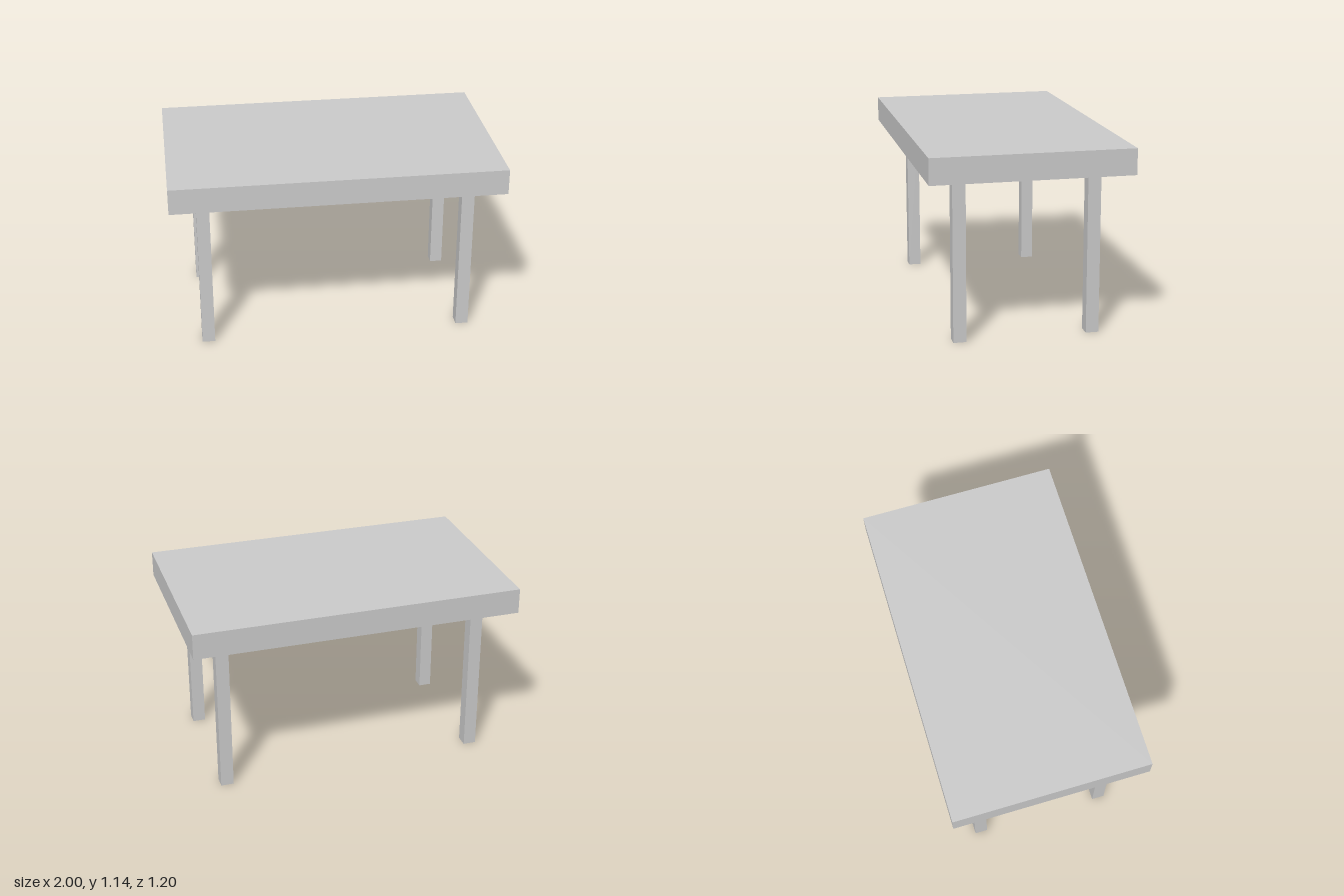
import * as THREE from 'three';

const TOP_Y = 1.14;        // height of the table surface
const UNDERSIDE_Y = 0.984; // where the legs meet the top
const LEG = 0.078;         // square leg thickness

export function createModel() {
  const table = new THREE.Group();
  table.name = 'table';
  const material = new THREE.MeshStandardMaterial({ color: 0xcccccc, flatShading: true });

  const addBox = (name, width, depth, y0, y1, x, z) => {
    const mesh = new THREE.Mesh(new THREE.BoxGeometry(width, y1 - y0, depth), material);
    mesh.name = name;
    mesh.position.set(x, (y0 + y1) / 2, z);
    table.add(mesh);
  };

  // Thick rectangular slab
  addBox('tabletop', 2, 1.2, UNDERSIDE_Y, TOP_Y, 0, 0);

  // Four square legs, inset from the corners
  for (const [side, x] of [['Left', 0.8], ['Right', -0.8]]) {
    for (const [end, z] of [['front', 0.4], ['back', -0.4]]) {
      addBox(`${end}${side}Leg`, LEG, LEG, 0, UNDERSIDE_Y, x, z);
    }
  }

  return table;
}
